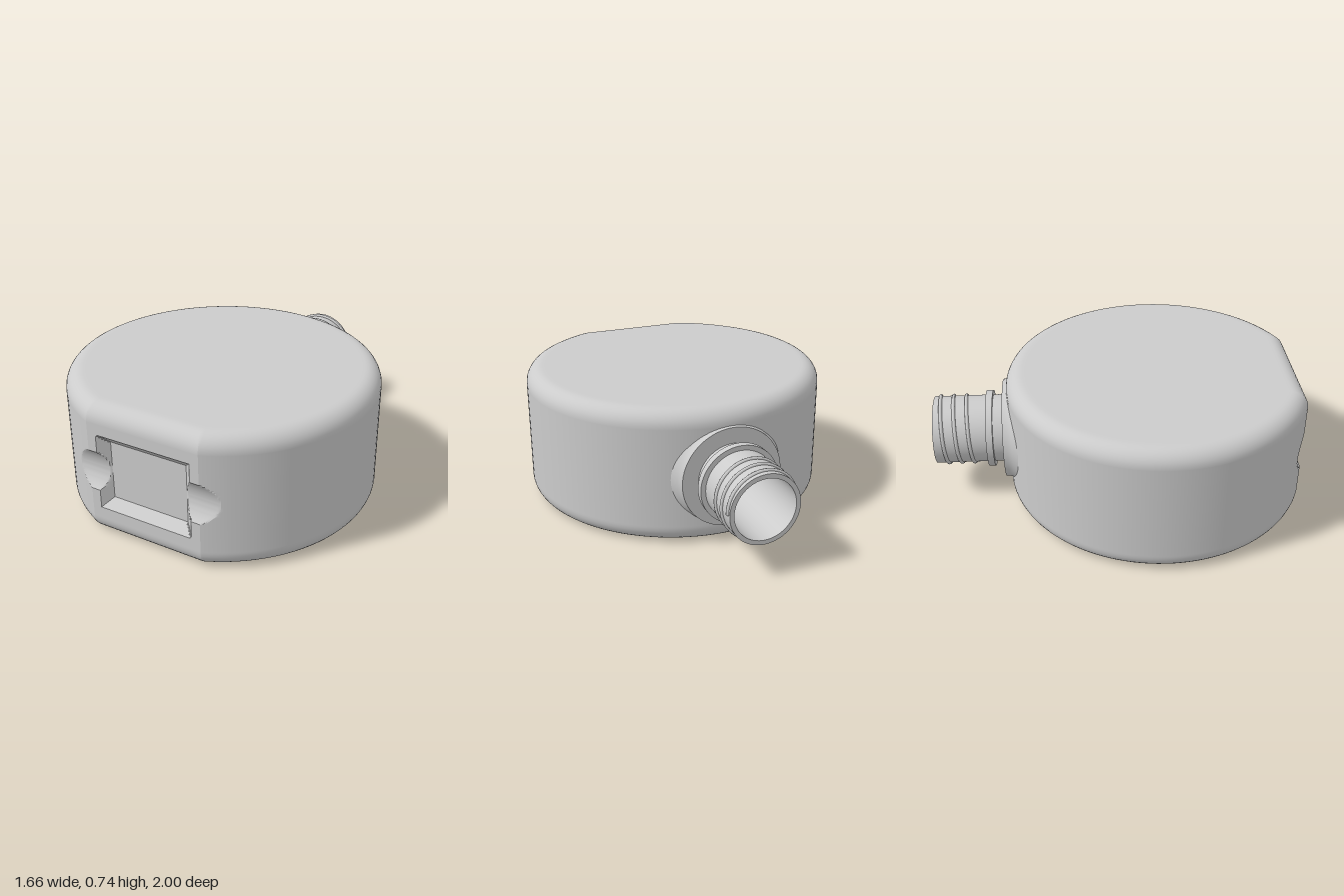
import * as THREE from 'three';
import { toCreasedNormals } from 'three/addons/utils/BufferGeometryUtils.js';

const H = 0.735, R = 0.83, HALF = 0.32;            // height, plan radius, half width of the flat front
const FLAT = Math.sqrt(R * R - HALF * HALF);       // centre to flat front
const ZC = 1 - FLAT;                               // plan centre
const AXIS_Y = 0.3675, MID_Y = 0.37;               // neck axis, front recess centre

// Outline columns: the flat front left to right, then the arc round the back
const columns = [];
for (let i = -32; i < 32; i++) columns.push({ flat: i / 32 });
for (let k = 0; k < 12; k++) columns.push({ arc: k * 0.0025 });
for (let k = 0; k <= 100; k++) columns.push({ arc: 0.03 + 0.0094 * k });
for (let k = 11; k >= 1; k--) columns.push({ arc: 1 - k * 0.0025 });

// Point of the plan outline, moved inwards by d
function outline(col, d) {
  const r = R - d, f = FLAT - d, half = Math.sqrt(r * r - f * f);
  if (col.flat !== undefined) return [col.flat * half, ZC + f];
  const corner = Math.atan2(half, f);
  const a = corner + col.arc * 2 * (Math.PI - corner);
  return [r * Math.sin(a), ZC + r * Math.cos(a)];
}

// Depth limit of the front: bevelled pocket and a shallow sideways groove
function carve(x, y) {
  const dy = Math.abs(y - MID_Y), gr = 0.157;
  const inside = Math.min(0.27 - Math.abs(x), 0.21 - dy);
  const pocket = 1 - THREE.MathUtils.clamp(inside, 0, 0.05);
  const groove = dy < 0.11 ? 0.955 + gr - Math.sqrt(gr * gr - dy * dy) : 1;
  return Math.min(pocket, groove);
}

// Rounded shell with an opening behind the neck
function shell(inset, carved) {
  const r = 0.09 - inset, low = [{ d: inset + r + 0.02, y: inset }];
  for (let j = 0; j <= 8; j++) {
    const a = (j / 8) * Math.PI / 2;
    low.push({ d: inset + r * (1 - Math.sin(a)), y: inset + r * (1 - Math.cos(a)) });
  }
  const rows = [...low];
  for (let i = 10; i <= 64; i++) rows.push({ d: inset, y: i / 100 });
  rows.push(...low.map(p => ({ d: p.d, y: H - p.y })).reverse());

  const grid = rows.map(({ d, y }) => columns.map(col => {
    let [x, z] = outline(col, d);
    if (carved && z > 0.9) z = Math.min(z, carve(x, y));
    return new THREE.Vector3(x, y, z);
  }));
  const pos = [];
  const tri = (...pts) => pts.forEach(p => pos.push(p.x, p.y, p.z));
  const n = columns.length, last = grid.length - 1;
  const bottom = new THREE.Vector3(0, inset, ZC), top = new THREE.Vector3(0, H - inset, ZC);
  for (let j = 0; j < n; j++) {
    const k = (j + 1) % n;
    tri(bottom, grid[0][k], grid[0][j]);
    tri(top, grid[last][j], grid[last][k]);
    for (let i = 0; i < last; i++) {
      const a = grid[i][j], b = grid[i][k], c = grid[i + 1][k], e = grid[i + 1][j];
      const mx = (a.x + c.x) / 2, my = (a.y + c.y) / 2;
      if (a.z < -0.3 && Math.hypot(mx, my - AXIS_Y) < 0.2) continue;
      tri(a, b, c);
      tri(a, c, e);
    }
  }
  const g = new THREE.BufferGeometry();
  g.setAttribute('position', new THREE.Float32BufferAttribute(pos, 3));
  return toCreasedNormals(g, 0.35);
}

// Turned part on the neck axis; points are [radius, distance towards the back]
function turned(points) {
  const g = new THREE.LatheGeometry(points.map(p => new THREE.Vector2(...p)), 72);
  g.rotateX(-Math.PI / 2).translate(0, AXIS_Y, 0);
  return toCreasedNormals(g, 0.6);
}

// Helical thread winding round the neck
class Helix extends THREE.Curve {
  getPoint(t, target = new THREE.Vector3()) {
    const a = -Math.PI + t * 5.5 * Math.PI;
    return target.set(0.188 * Math.sin(a), AXIS_Y + 0.188 * Math.cos(a), -0.785 - 0.195 * t);
  }
}

export function createModel() {
  const group = new THREE.Group();
  const grey = new THREE.MeshStandardMaterial({ color: 0xcccccc });
  const inner = new THREE.MeshStandardMaterial({ color: 0xcccccc, side: THREE.BackSide });
  const both = new THREE.MeshStandardMaterial({ color: 0xcccccc, side: THREE.DoubleSide });
  const add = (name, geometry, material = grey) => {
    const mesh = new THREE.Mesh(geometry, material);
    mesh.name = name;
    group.add(mesh);
  };

  add('body', shell(0, true));
  add('cavity', shell(0.06, false), inner);
  add('collar', turned([[0.33, 0.5], [0.3, 0.545], [0.282, 0.57], [0.274, 0.595], [0.273, 0.617], [0.18, 0.617]]));
  add('neck', turned([[0.187, 0.6], [0.187, 1], [0.163, 1], [0.163, 0.53]]), both);
  add('neckFlange', turned([[0.18, 0.675], [0.213, 0.675], [0.213, 0.712], [0.18, 0.712]]));
  add('screwThread', new THREE.TubeGeometry(new Helix(), 200, 0.01, 8));
  return group;
}
